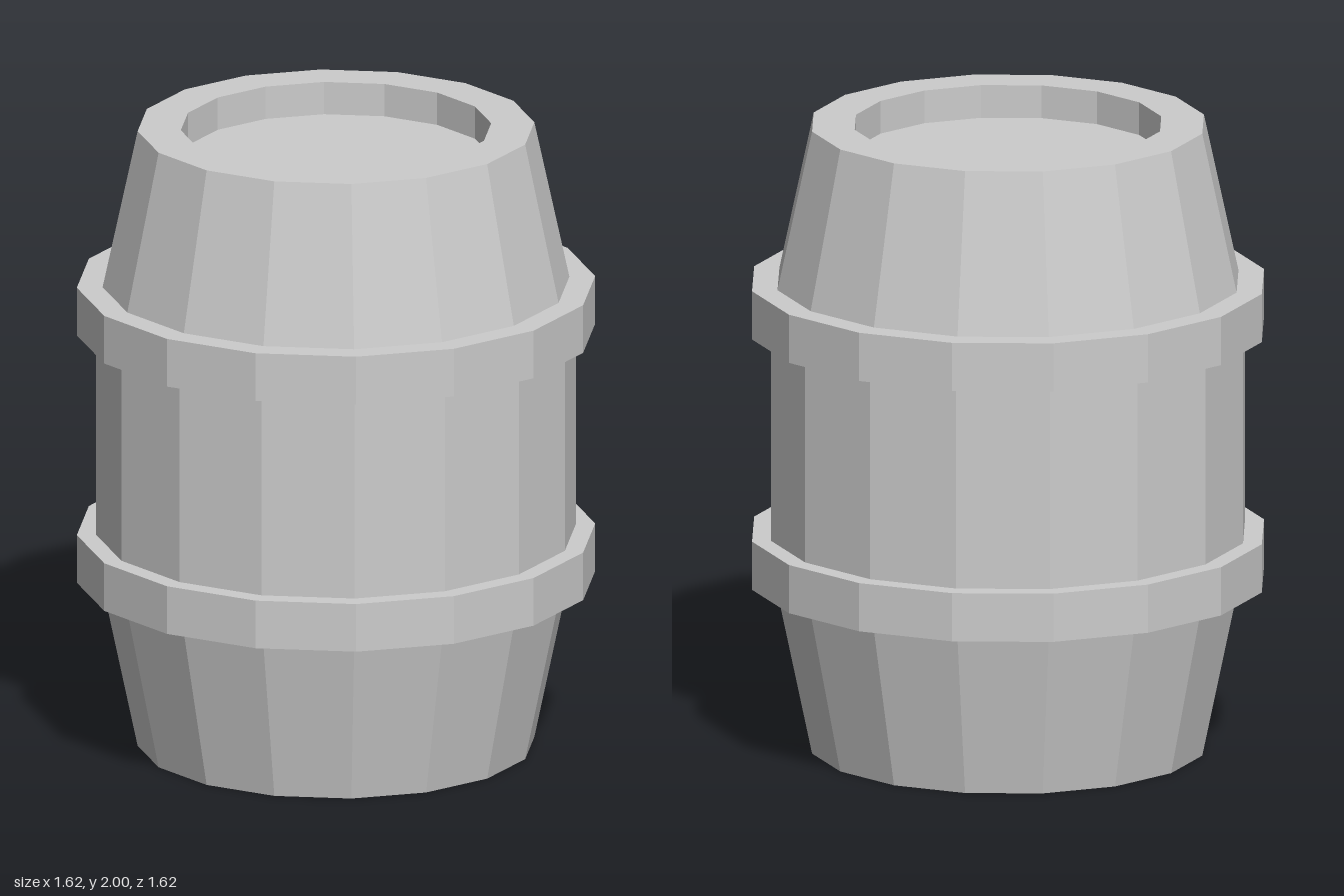
import * as THREE from 'three';

const SIDES = 16;

export function createModel() {
  const group = new THREE.Group();
  const material = new THREE.MeshStandardMaterial({ color: 0xcccccc, flatShading: true });

  // Revolve a [radius, height] profile, listed counter-clockwise from the bottom
  const addLathe = (name, profile) => {
    const points = profile.map(([r, y]) => new THREE.Vector2(r, y));
    const mesh = new THREE.Mesh(new THREE.LatheGeometry(points, SIDES), material);
    mesh.name = name;
    group.add(mesh);
  };

  // Barrel body with a recessed head at each end
  addLathe('body', [
    [0, 0.105], [0.485, 0.105], [0.485, 0],
    [0.62, 0], [0.75, 0.62], [0.75, 1.4], [0.62, 2],
    [0.485, 2], [0.485, 1.895], [0, 1.895],
  ]);

  // Two hoops around the body
  const addHoop = (name, y0, y1) =>
    addLathe(name, [[0.7, y0], [0.81, y0], [0.81, y1], [0.7, y1]]);
  addHoop('lowerHoop', 0.535, 0.69);
  addHoop('upperHoop', 1.34, 1.495);

  return group;
}
